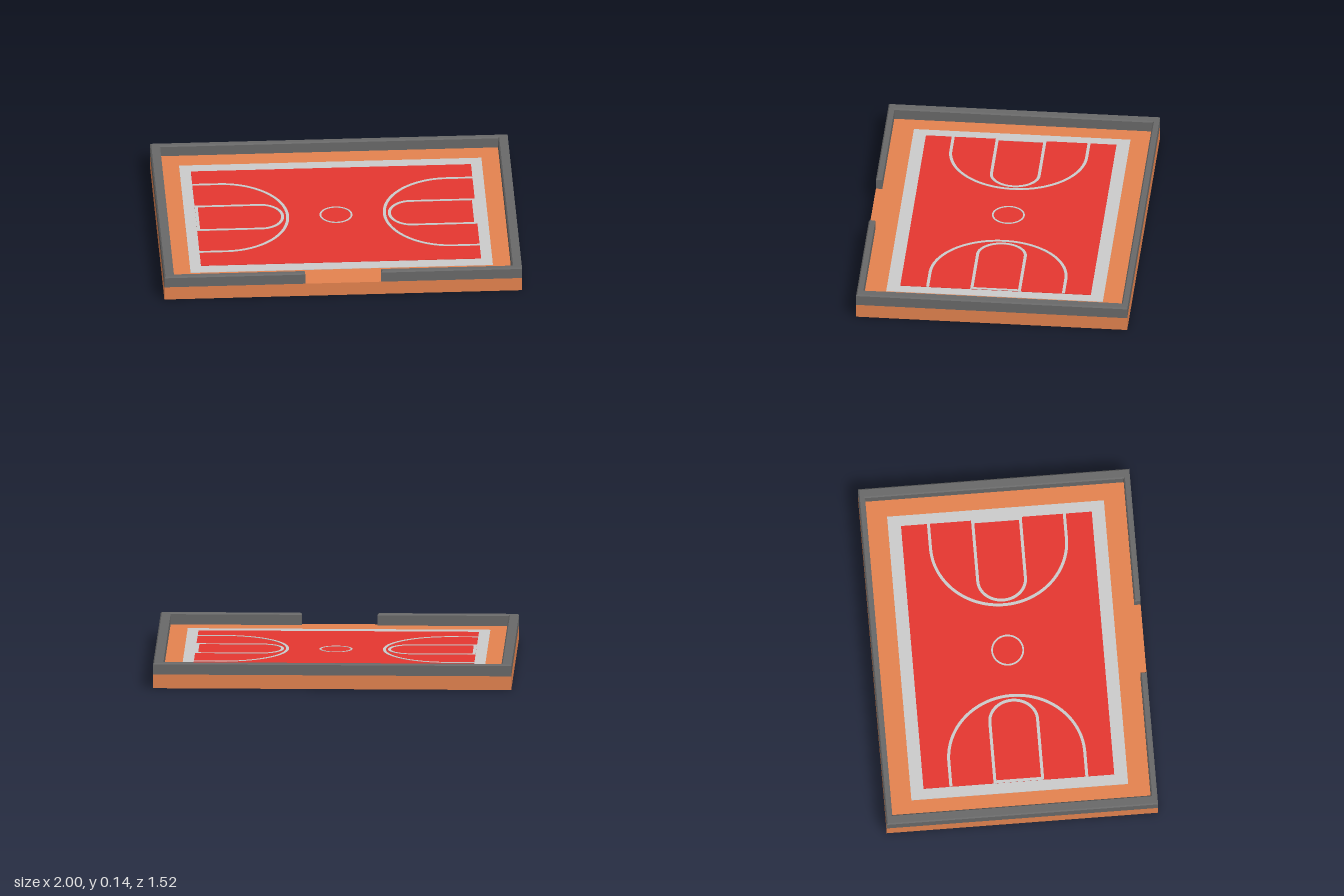
import * as THREE from 'three';

const BASE_TOP = 0.078, WALL_TOP = 0.143, BEVEL = 0.007;
const HALF_X = 1, HALF_Z = 0.76;
const FLOOR_END = 0.783, LINE = 0.017, CENTRE_Z = -0.002;

const material = (color) => new THREE.MeshStandardMaterial({ color });
const grey = material(0xcccccc);
const orange = material(0xe4834f);
const red = material(0xe53730);
const dark = material(0x696969);

function addMesh(parent, name, geometry, mat) {
  const mesh = new THREE.Mesh(geometry, mat);
  mesh.name = name;
  parent.add(mesh);
  return mesh;
}

// Box with its underside at y
function addSlab(parent, name, w, h, d, y, z, mat) {
  addMesh(parent, name, new THREE.BoxGeometry(w, h, d), mat).position.set(0, y + h / 2, z);
}

// Painted marking: a plan shape raised a hair above the playing floor
function addMarking(parent, name, shape) {
  const geometry = new THREE.ExtrudeGeometry(shape, { depth: 0.002, bevelEnabled: false, curveSegments: 32 });
  geometry.rotateX(-Math.PI / 2);
  addMesh(parent, name, geometry, grey).position.set(0, BASE_TOP + 0.004, CENTRE_Z);
}

// Straight sides running from an end line to a half round
function roundEnded(path, startX, centreX, rx, rz) {
  path.moveTo(startX, -rz);
  path.lineTo(centreX, -rz);
  path.absellipse(centreX, 0, rx, rz, -Math.PI / 2, Math.PI / 2, false);
  path.lineTo(startX, rz);
  path.closePath();
  return path;
}

function createWall() {
  // Plan outline, open at the front entrance; shape y is -z
  const ix = 0.944, iz = 0.724, gap = 0.212;
  const shape = new THREE.Shape([
    [-gap, -HALF_Z], [-gap, -iz], [-ix, -iz], [-ix, iz], [ix, iz], [ix, -iz],
    [gap, -iz], [gap, -HALF_Z], [HALF_X, -HALF_Z], [HALF_X, HALF_Z], [-HALF_X, HALF_Z], [-HALF_X, -HALF_Z],
  ].map(([x, y]) => new THREE.Vector2(x, y)));
  // The lower bevel is sunk inside the base
  const geometry = new THREE.ExtrudeGeometry(shape, {
    depth: WALL_TOP - BASE_TOP - BEVEL,
    bevelThickness: BEVEL, bevelSize: BEVEL, bevelOffset: -BEVEL, bevelSegments: 1,
  });
  geometry.rotateX(-Math.PI / 2);
  geometry.translate(0, BASE_TOP, 0);
  return geometry;
}

export function createModel() {
  const court = new THREE.Group();
  court.name = 'sportsCourt';

  // Ground, border and playing floor
  addSlab(court, 'base', HALF_X * 2, BASE_TOP, HALF_Z * 2, 0, 0, orange);
  addSlab(court, 'border', 1.69, 0.002, 1.214, BASE_TOP, CENTRE_Z, grey);
  addSlab(court, 'playingFloor', FLOOR_END * 2, 0.004, 1.068, BASE_TOP, CENTRE_Z, red);

  addMesh(court, 'surroundingWall', createWall(), dark);

  // Centre circle
  const circle = new THREE.Shape().absarc(0, 0, 0.092, 0, Math.PI * 2, false);
  circle.holes.push(new THREE.Path().absarc(0, 0, 0.082, 0, Math.PI * 2, true));
  addMarking(court, 'centreCircle', circle);

  // Arc and key at both ends
  for (const [side, label] of [[-1, 'right'], [1, 'left']]) {
    const end = new THREE.Group();
    end.name = label + 'EndMarkings';

    const arc = new THREE.Shape();
    const cx = -0.635, rx = 0.373, rz = 0.389;
    arc.moveTo(-FLOOR_END, -rz);
    arc.lineTo(cx, -rz);
    arc.absellipse(cx, 0, rx, rz, -Math.PI / 2, Math.PI / 2, false);
    arc.lineTo(-FLOOR_END, rz);
    arc.lineTo(-FLOOR_END, rz - LINE);
    arc.lineTo(cx, rz - LINE);
    arc.absellipse(cx, 0, rx - LINE, rz - LINE, Math.PI / 2, -Math.PI / 2, true);
    arc.lineTo(-FLOOR_END, -rz + LINE);
    arc.closePath();
    addMarking(end, 'longArc', arc);

    const key = roundEnded(new THREE.Shape(), -FLOOR_END, -0.42, 0.13, 0.142);
    key.holes.push(roundEnded(new THREE.Path(), -FLOOR_END + LINE, -0.42, 0.13 - LINE, 0.142 - LINE));
    addMarking(end, 'key', key);

    if (side > 0) end.rotation.y = Math.PI;
    // Keep the turned markings on the floor's centre line
    if (side > 0) end.position.z = 2 * CENTRE_Z;
    court.add(end);
  }
  return court;
}
